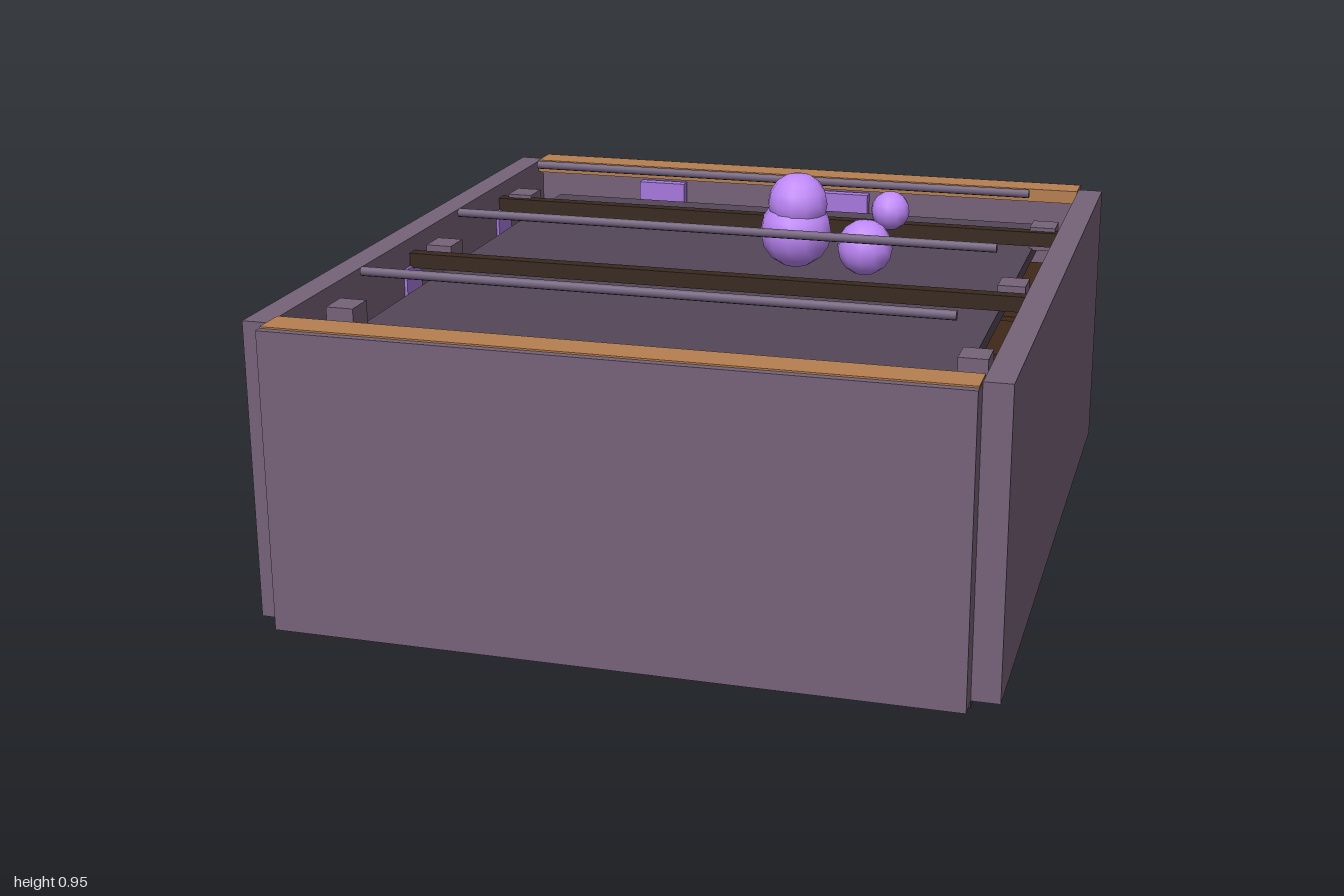
import * as THREE from 'three';

export function createModel() {
  const root = new THREE.Group();
  const mat = (color) => new THREE.MeshStandardMaterial({ color });
  const M = {
    wall: mat(0x766279), lid: mat(0x544758), floor: mat(0x4a3e4e), timber: mat(0xb57f50),
    dark: mat(0x38291f), wood: mat(0x402818), banner: mat(0xa678de), orb: mat(0xbf88fa),
    stone: mat(0x808080), rod: mat(0x70607a), web: mat(0xb0b0b0),
  };
  M.web.side = THREE.DoubleSide;
  const add = (name, geo, m, x, y, z) => {
    const mesh = new THREE.Mesh(geo, m);
    mesh.name = name;
    mesh.position.set(x, y, z);
    root.add(mesh);
    return mesh;
  };
  // Box given by its low and high limits on each axis
  const box = (name, m, [x0, x1], [y0, y1], [z0, z1]) =>
    add(name, new THREE.BoxGeometry(x1 - x0, y1 - y0, z1 - z0), m,
      (x0 + x1) / 2, (y0 + y1) / 2, (z0 + z1) / 2);
  const span = (c, w) => [c - w / 2, c + w / 2];

  // Room shell
  box('floor', M.floor, [-0.83, 0.83], [0, 0.019], [-0.933, 0.933]);
  for (const s of [-1, 1]) {
    box('sideWall', M.wall, span(s * 0.8635, 0.067), [0.019, 0.765], [-0.935, 0.935]);
    box('endWall', M.wall, [-0.83, 0.83], [0.019, 0.765], span(s * 0.965, 0.07));
    // Timber rails along the top and foot of the end walls
    box('topRail', M.timber, [-0.8295, 0.8295], [0.732, 0.769], span(s * 0.935, 0.09));
    box('footRail', M.timber, [-0.8295, 0.8295], [0.03, 0.067], span(s * 0.935, 0.09));
  }

  // Inner lid slab
  box('ceilingSlab', M.lid, [-0.745, 0.745], [0.64, 0.675], [-0.85, 0.85]);

  // Dark cross beams
  for (const z of [-0.565, 0.1])
    box('crossBeam', M.dark, [-0.83, 0.83], [0.685, 0.725], span(z, 0.036));

  // Hanging rods and the blocks on the walls beside them
  for (const z of [-0.605, 0.018, 0.642]) {
    const rod = add('rod', new THREE.CylinderGeometry(0.012, 0.012, 1.45, 8), M.rod, 0, 0.82, z);
    rod.rotation.z = Math.PI / 2;
    for (const s of [-1, 1])
      box('wallBlock', M.wall, span(s * 0.771, 0.07), [0.67, 0.735], span(z, 0.082));
  }

  // Floating orbs
  for (const [x, y, z, r] of [
    [0.172, 0.795, -0.123, 0.096], [0.177, 0.872, -0.12, 0.08],
    [0.37, 0.778, -0.065, 0.073], [0.395, 0.828, -0.278, 0.052],
  ]) add('orb', new THREE.SphereGeometry(r, 12, 8), M.orb, x, y, z);

  // Banners on the back, left-hand and front walls
  for (const x of [-0.43, 0.14])
    box('backBanner', M.banner, span(x, 0.14), [0.4, 0.72], [-0.92, -0.888]);
  for (const z of [-0.57, 0.11])
    box('sideBanner', M.banner, [-0.83, -0.822], [0.35, 0.69], span(z, 0.1));
  box('frontBanner', M.banner, span(0, 0.09), [0.3, 0.58], [0.865, 0.92]);

  // Shelves along the back and one side
  for (const [x, w] of [[-0.645, 0.31], [-0.27, 0.3], [0.1, 0.31], [0.47, 0.29], [0.715, 0.13]])
    box('backShelf', M.wood, span(x, w), [0.019, 0.55], [-0.89, -0.78]);
  for (const [z0, z1] of [[-0.78, -0.3], [-0.26, 0.05], [0.1, 0.37], [0.43, 0.71]])
    box('sideShelf', M.wood, [0.68, 0.78], [0.019, 0.55], [z0, z1]);

  // Slab bench and low plinths along the other walls
  box('bench', M.stone, [-0.825, -0.55], [0.019, 0.2], [-0.47, -0.03]);
  for (const [z0, z1] of [[0.05, 0.42], [0.44, 0.87]])
    box('sidePlinth', M.floor, [-0.825, -0.6], [0.019, 0.12], [z0, z1]);
  for (const x of [-0.24, 0.3])
    box('frontPlinth', M.floor, span(x, 0.4), [0.019, 0.12], [0.65, 0.885]);

  // Torches on the front wall and a web across one corner
  for (const s of [-1, 1])
    add('torch', new THREE.CylinderGeometry(0.014, 0.01, 0.16, 8), M.timber, s * 0.42, 0.42, 0.872);
  const web = new THREE.BufferGeometry().setFromPoints([
    new THREE.Vector3(0.745, 0.6, 0.8), new THREE.Vector3(0.828, 0.6, 0.85),
    new THREE.Vector3(0.828, 0.45, 0.885)]);
  web.computeVertexNormals();
  add('cornerWeb', web, M.web, 0, 0, 0);

  return root;
}
